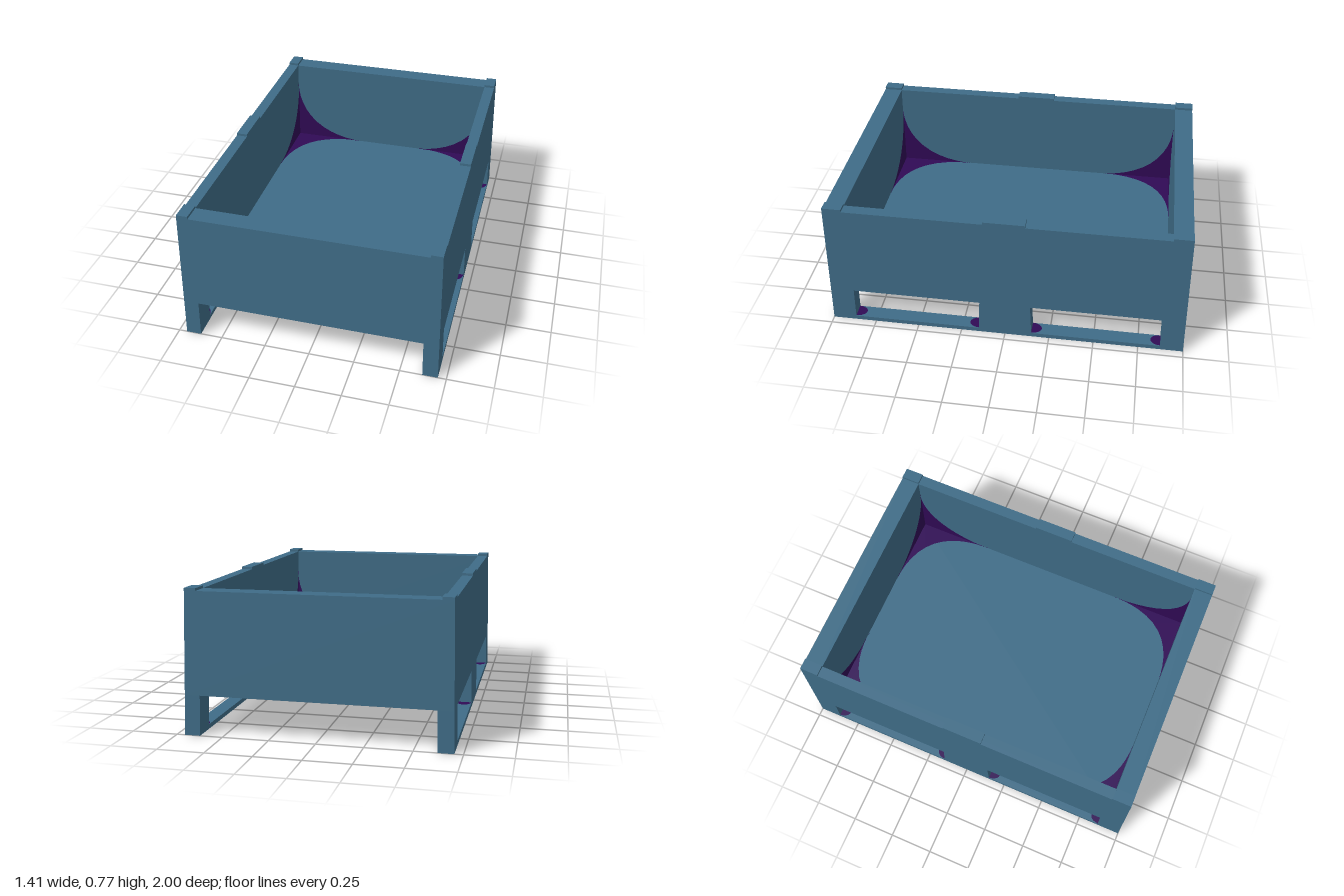
import * as THREE from 'three';

const FLOOR = 0.23, RIM = 0.76, CAP = 0.774;

// Lean every part slightly inwards towards the top
function taper(geo) {
  const p = geo.attributes.position;
  for (let i = 0; i < p.count; i++) {
    const k = 1 - 0.0205 * p.getY(i) / CAP;
    p.setX(i, p.getX(i) * k);
    p.setZ(i, p.getZ(i) * k);
  }
  geo.computeVertexNormals();
  return geo;
}

function box(x0, x1, y0, y1, z0, z1) {
  const geo = new THREE.BoxGeometry(x1 - x0, y1 - y0, z1 - z0);
  geo.translate((x0 + x1) / 2, (y0 + y1) / 2, (z0 + z1) / 2);
  return taper(geo);
}

// Concave three-cornered patch, laid on a surface by the place function
function patch(w, h, k, place) {
  const pts = [new THREE.Vector2(0, 0)];
  for (let i = 0; i <= 16; i++) {
    const t = (i / 16) * Math.PI / 2;
    pts.push(new THREE.Vector2(w * Math.max(0, Math.cos(t)) ** k, h * Math.sin(t) ** k));
  }
  const geo = new THREE.ShapeGeometry(new THREE.Shape(pts));
  const p = geo.attributes.position;
  for (let i = 0; i < p.count; i++) p.setXYZ(i, ...place(p.getX(i), p.getY(i)));
  return taper(geo);
}

export function createModel() {
  const model = new THREE.Group();
  model.name = 'crate';
  const blue = new THREE.MeshStandardMaterial({ color: 0x3f6c87 });
  blue.name = 'slate blue';
  const purple = new THREE.MeshStandardMaterial({ color: 0x300a55, side: THREE.DoubleSide });
  purple.name = 'dark purple';

  const add = (name, geo, mat = blue) => {
    const mesh = new THREE.Mesh(geo, mat);
    mesh.name = name;
    model.add(mesh);
    return mesh;
  };

  // Floor of the tub
  add('floor', box(-0.66, 0.66, 0.215, FLOOR, -0.92, 0.92));

  // End walls
  add('frontWall', box(-0.705, 0.705, 0.215, RIM, 0.893, 1));
  add('backWall', box(-0.705, 0.705, 0.215, RIM, -1, -0.893));

  // Centre foot, a little wider at the bottom
  const foot = new THREE.Shape([[-0.15, 0.025], [0.15, 0.025], [0.143, 0.215], [-0.143, 0.215]]
    .map(([z, y]) => new THREE.Vector2(z, y)));

  for (const s of [1, -1]) {
    const side = s > 0 ? 'left' : 'right';
    const span = (a, b) => (s > 0 ? [a, b] : [-b, -a]);
    const [w0, w1] = span(0.642, 0.705);
    const [l0, l1] = span(0.622, 0.705);

    // Side wall, skid and feet
    add(side + 'Wall', box(w0, w1, 0.215, RIM, -0.893, 0.893));
    add(side + 'Skid', box(l0, l1, 0, 0.025, -1, 1));
    add(side + 'FrontFoot', box(l0, l1, 0.025, 0.215, 0.867, 1));
    add(side + 'BackFoot', box(l0, l1, 0.025, 0.215, -1, -0.873));
    const geo = new THREE.ExtrudeGeometry(foot, { depth: 0.083, bevelEnabled: false });
    geo.rotateY(-Math.PI / 2).translate(l1, 0, 0);
    add(side + 'CentreFoot', taper(geo));

    // Raised stacking pads on the rim
    add(side + 'FrontPad', box(w0, w1, RIM, CAP, 0.893, 1));
    add(side + 'BackPad', box(w0, w1, RIM, CAP, -1, -0.893));
    add(side + 'CentrePad', box(w0, w1, RIM, CAP, -0.115, 0.115));

    // Dark spots on the skid beside each foot
    for (const z of [-0.873, -0.15, 0.15, 0.867]) {
      const spot = new THREE.CircleGeometry(0.04, 20);
      spot.rotateX(-Math.PI / 2).scale(1, 1, 1.4).translate(s * 0.663, 0.027, z);
      add(side + 'SkidSpot', spot, purple);
    }
  }

  // Dark patches in the four inner corners
  const patches = {
    floorPatch: patch(0.44, 0.46, 4, (u, v) => [0.642 - u, FLOOR + 0.002, 0.893 - v]),
    sidePatch: patch(0.46, 0.4, 3.7, (u, v) => [0.64, FLOOR + v, 0.893 - u]),
    endPatch: patch(0.46, 0.4, 3.7, (u, v) => [0.642 - u, FLOOR + v, 0.891]),
  };
  for (const sx of [1, -1]) {
    for (const sz of [1, -1]) {
      for (const [name, geo] of Object.entries(patches)) add(name, geo, purple).scale.set(sx, 1, sz);
    }
  }
  return model;
}
